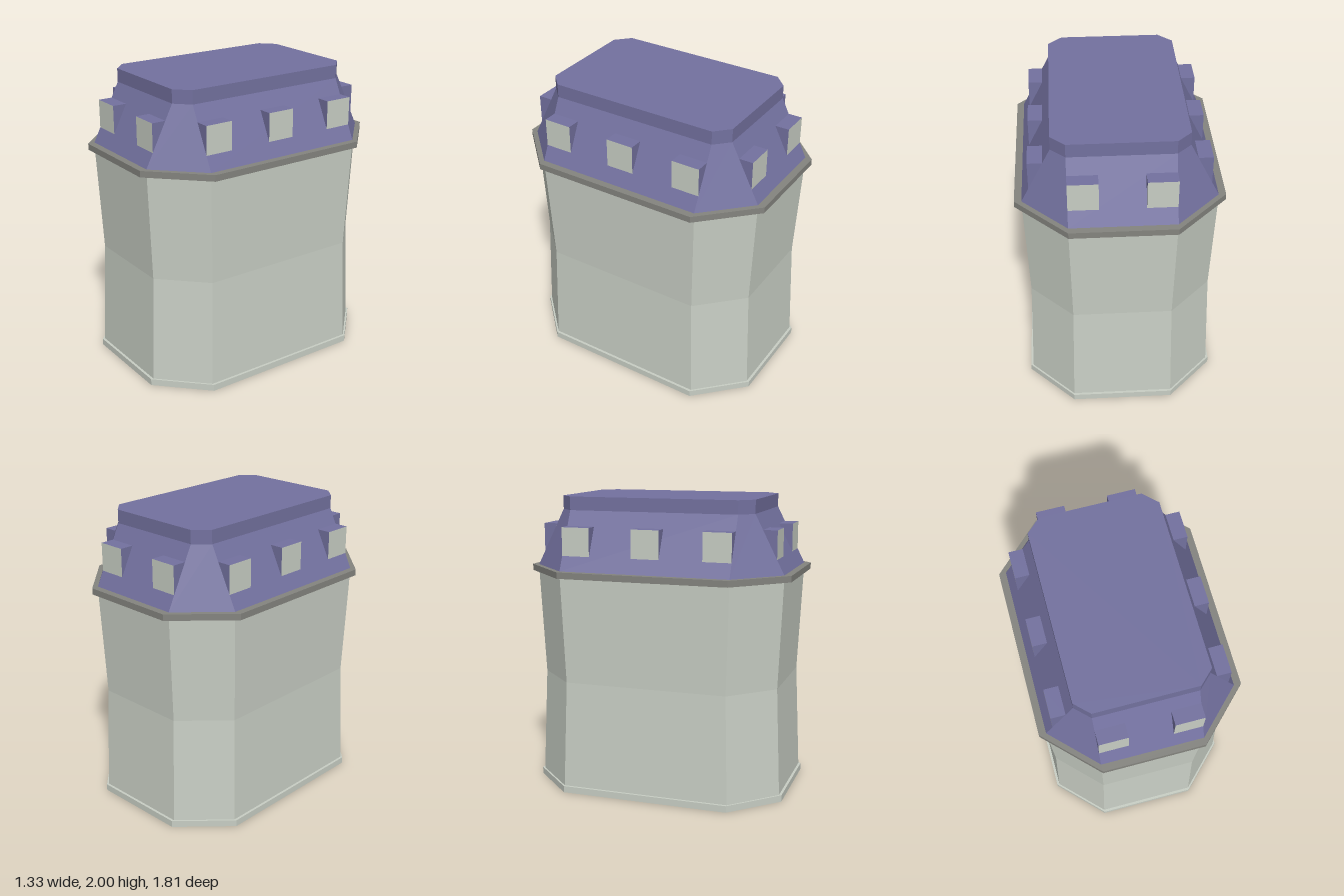
import * as THREE from 'three';

const material = (color) => new THREE.MeshStandardMaterial({ color, flatShading: true, side: THREE.DoubleSide });
const stone = material(0xc8cec4);
const trim = material(0x84847f);
const slate = material(0x73719f);

// Octagonal ring at height y: half sizes hx, hz, with flat sides of half length cx, cz
const ring = (y, hx, hz, cx = 0.335, cz = 0.575) => [
  [cx, y, hz], [hx, y, cz], [hx, y, -cz], [cx, y, -hz],
  [-cx, y, -hz], [-hx, y, -cz], [-hx, y, cz], [-cx, y, hz],
];

function geometryFrom(positions) {
  const g = new THREE.BufferGeometry();
  g.setAttribute('position', new THREE.Float32BufferAttribute(positions.flat(), 3));
  g.computeVertexNormals();
  return g;
}

// Skin a stack of rings, optionally closing the last one
function loft(name, rings, mat, capped = false) {
  const p = [];
  for (let r = 0; r < rings.length - 1; r++) {
    const lo = rings[r], hi = rings[r + 1];
    for (let i = 0; i < 8; i++) {
      const j = (i + 1) % 8;
      p.push(lo[i], lo[j], hi[j], lo[i], hi[j], hi[i]);
    }
  }
  if (capped) {
    const top = rings[rings.length - 1];
    for (let i = 1; i < 7; i++) p.push(top[0], top[i], top[i + 1]);
  }
  const mesh = new THREE.Mesh(geometryFrom(p), mat);
  mesh.name = name;
  return mesh;
}

// Wedge dormer facing +z: window face at z = 0, hood running back into the roof
function dormer(width, depth) {
  const w = width / 2, h = 0.19;
  const a = [-w, 0, 0], b = [w, 0, 0], c = [w, h, 0], d = [-w, h, 0];
  const e = [w, h, -depth], f = [-w, h, -depth];
  const group = new THREE.Group();
  group.name = 'dormer';
  const hood = new THREE.Mesh(geometryFrom([d, c, e, d, e, f, b, e, c, a, d, f]), slate);
  hood.name = 'dormerHood';
  const pane = new THREE.Mesh(geometryFrom([a, b, c, a, c, d]), stone);
  pane.name = 'dormerWindow';
  group.add(hood, pane);
  return group;
}

export function createModel() {
  const model = new THREE.Group();
  model.name = 'tower';

  // Open-bottomed walls with a plinth and a slightly pinched waist
  model.add(loft('plinth', [
    ring(0, 0.637, 0.877), ring(0.045, 0.637, 0.877), ring(0.045, 0.62, 0.86),
  ], stone));
  model.add(loft('walls', [
    ring(0.045, 0.62, 0.86), ring(0.77, 0.597, 0.828, 0.322, 0.553), ring(1.483, 0.62, 0.86),
  ], stone));

  // Projecting cornice
  model.add(loft('cornice', [
    ring(1.483, 0.62, 0.86), ring(1.483, 0.667, 0.907),
    ring(1.525, 0.667, 0.907), ring(1.525, 0.62, 0.86),
  ], trim));

  // Sloped roof with an upright crown and flat top
  model.add(loft('roof', [
    ring(1.525, 0.62, 0.86), ring(1.91, 0.428, 0.665), ring(2, 0.428, 0.665),
  ], slate, true));

  // Two dormers on each end, three on each long side
  for (const s of [1, -1]) {
    for (const x of [-0.24, 0.24]) {
      const d = dormer(0.19, 0.095);
      d.position.set(x, 1.62, s * 0.811);
      d.rotation.y = s > 0 ? 0 : Math.PI;
      model.add(d);
    }
    for (const z of [-0.48, 0, 0.48]) {
      const d = dormer(0.19, 0.095);
      d.position.set(s * 0.572, 1.62, z);
      d.rotation.y = s * Math.PI / 2;
      model.add(d);
    }
  }
  return model;
}
